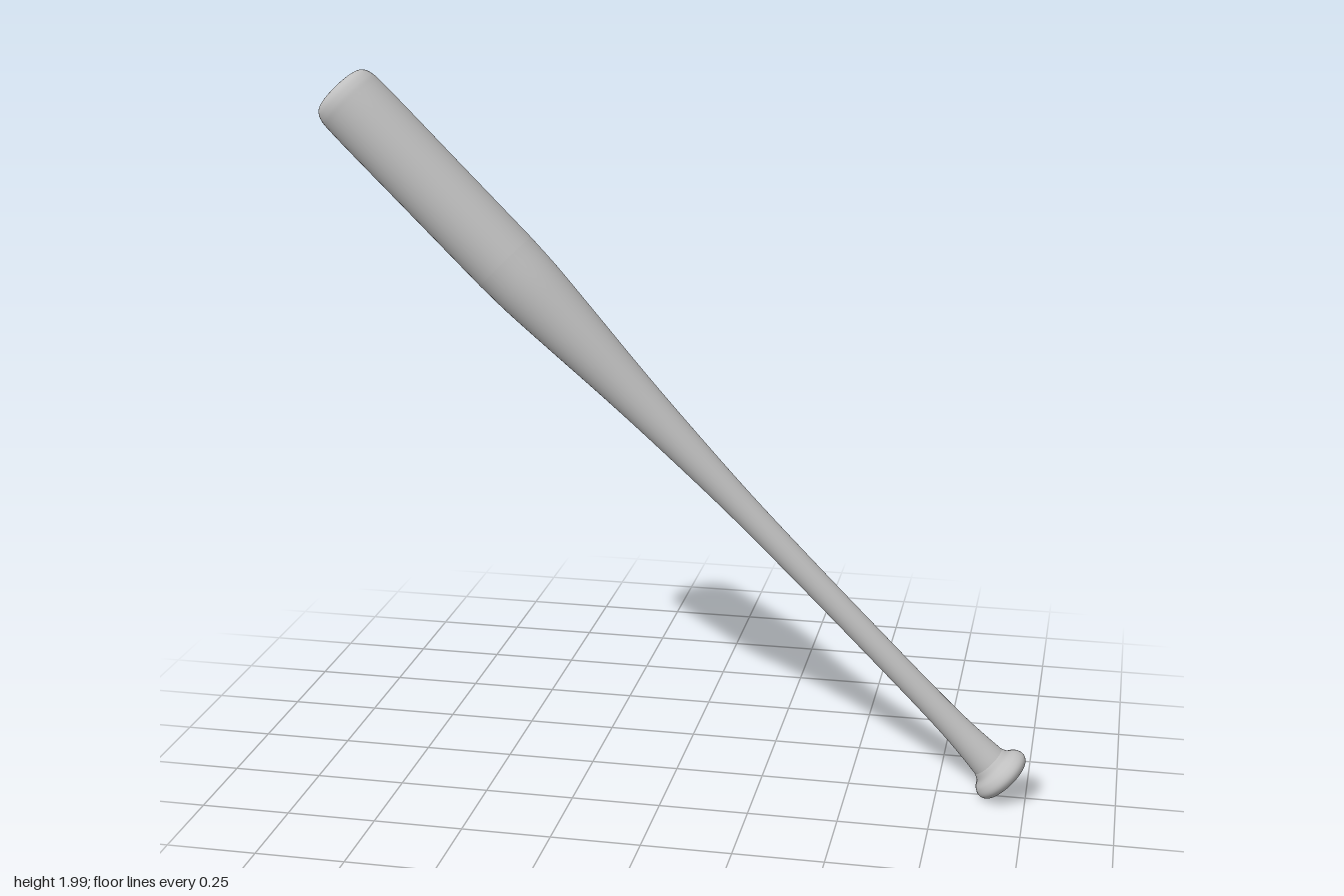
import * as THREE from 'three';

export function createModel() {
  const group = new THREE.Group();
  group.name = 'bat';
  const grey = new THREE.MeshStandardMaterial({ color: 0xbfbfbf });
  grey.name = 'plain grey';

  // Revolves [radius, distance along the bat] points, smoothed by a spline
  const turned = (name, points, steps) => {
    const curve = new THREE.CatmullRomCurve3(points.map(([r, y]) => new THREE.Vector3(r, y, 0)), false, 'centripetal');
    const profile = curve.getPoints(steps).map((p) => new THREE.Vector2(Math.max(p.x, 0), p.y));
    const mesh = new THREE.Mesh(new THREE.LatheGeometry(profile, 48), grey);
    mesh.name = name;
    return mesh;
  };

  const bat = new THREE.Group();
  bat.name = 'tiltedBat';
  bat.add(
    // Rounded knob with a nearly flat butt
    turned('knob', [[0, -1.343], [0.045, -1.341], [0.073, -1.335], [0.084, -1.322], [0.085, -1.31],
      [0.077, -1.294], [0.06, -1.28], [0.051, -1.262]], 48),
    // Flared grip running into the taper
    turned('handle', [[0.051, -1.262], [0.046, -1.21], [0.041, -1.14], [0.038, -1.04], [0.037, -0.8],
      [0.038, -0.5], [0.042, -0.25], [0.053, 0], [0.065, 0.2], [0.083, 0.43], [0.094, 0.58], [0.0975, 0.68]], 64),
    // Straight barrel with a softly domed end
    turned('barrel', [[0.0975, 0.68], [0.098, 0.95], [0.098, 1.27], [0.096, 1.3], [0.089, 1.32],
      [0.077, 1.332], [0.05, 1.339], [0, 1.342]], 64),
  );

  // Lean the bat so the barrel points up towards -x
  bat.rotation.z = Math.PI / 4;
  bat.position.y = 1;
  group.add(bat);
  return group;
}
